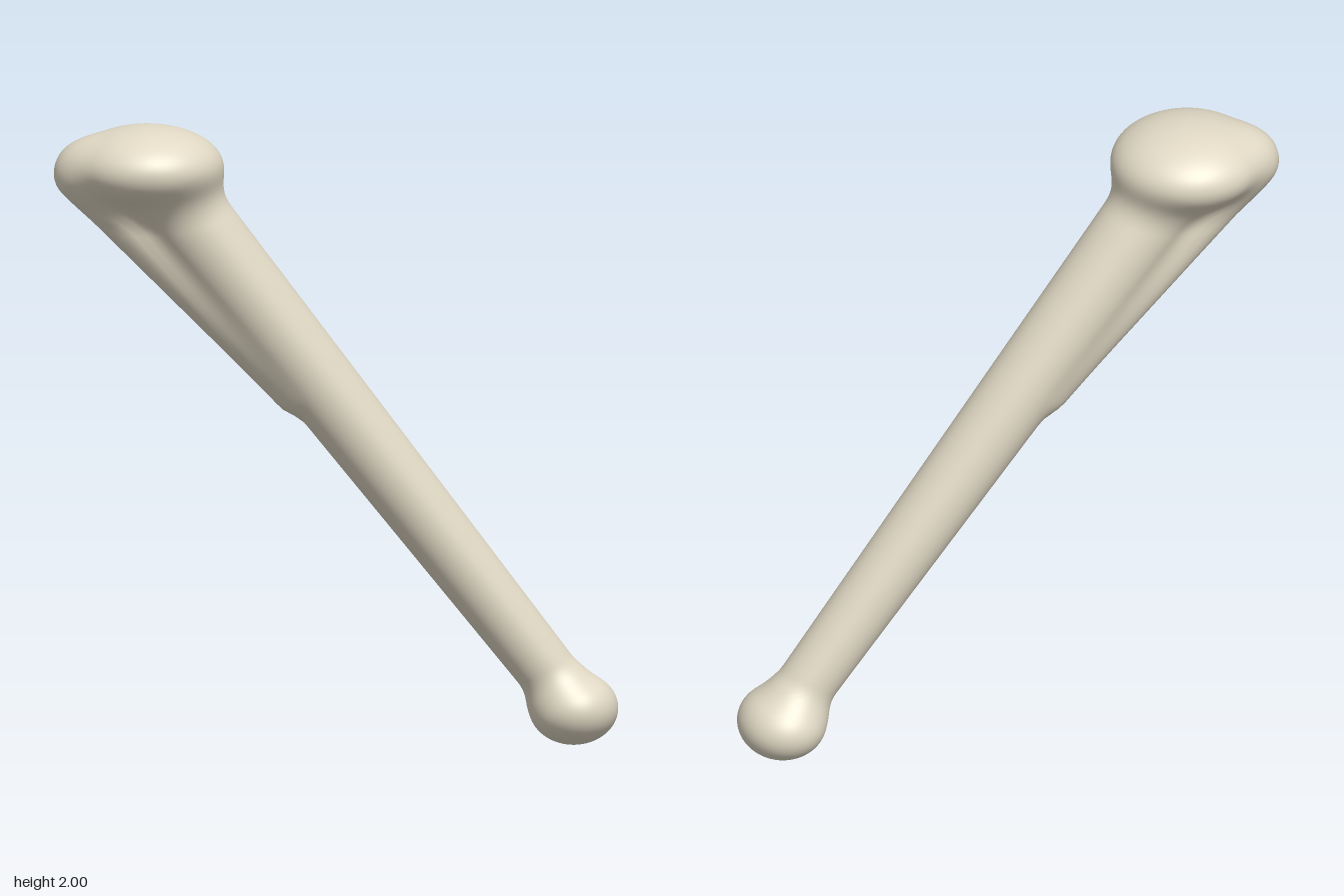
import * as THREE from 'three';

const V = (x, y, z) => new THREE.Vector3(x, y, z);

// Distance to a rounded limb that tapers from radius ra at a to rb at b
function limb(a, b, ra, rb) {
  const ab = b.clone().sub(a), len2 = ab.lengthSq(), q = V(0, 0, 0);
  return (p) => {
    const t = THREE.MathUtils.clamp(q.copy(p).sub(a).dot(ab) / len2, 0, 1);
    return q.copy(a).addScaledVector(ab, t).distanceTo(p) - THREE.MathUtils.lerp(ra, rb, t);
  };
}

// Approximate distance to an ellipsoid
function ellipsoid(c, r) {
  const q = V(0, 0, 0);
  return (p) => {
    const k0 = q.copy(p).sub(c).divide(r).length();
    const k1 = q.divide(r).length();
    return k1 < 1e-6 ? -Math.min(r.x, r.y, r.z) : k0 * (k0 - 1) / k1;
  };
}

// Smooth blend of two distances
function blend(a, b, k) {
  const h = Math.max(k - Math.abs(a - b), 0) / k;
  return Math.min(a, b) - h * h * k / 4;
}

// The anatomy: shaft, front crest, upper head and lower knuckle
const shaft = limb(V(-0.52, 1.77, 0.03), V(0.68, 0.21, -0.115), 0.13, 0.092);
const crest = limb(V(-0.805, 1.845, 0.035), V(-0.14, 1.14, -0.03), 0.083, 0.06);
const head = ellipsoid(V(-0.6, 1.87, 0.04), V(0.238, 0.13, 0.238));
const knuckle = ellipsoid(V(0.742, 0.12, -0.125), V(0.14, 0.115, 0.153));

function bone(p) {
  let d = blend(shaft(p), crest(p), 0.05);
  d = blend(d, head(p), 0.09);
  return blend(d, knuckle(p), 0.06);
}

// First surface crossing from an inside point along a direction
function reach(origin, dir) {
  const p = V(0, 0, 0);
  const f = (s) => bone(p.copy(origin).addScaledVector(dir, s));
  let hi = 0;
  while (hi < 1 && f(hi) < 0) hi += 0.01;
  let lo = Math.max(0, hi - 0.01);
  for (let i = 0; i < 16; i++) {
    const mid = (lo + hi) / 2;
    if (f(mid) < 0) lo = mid; else hi = mid;
  }
  return origin.clone().addScaledVector(dir, lo);
}

function boneGeometry(rows = 150, sides = 72) {
  const upper = V(-0.6, 1.87, 0.04), lower = V(0.742, 0.12, -0.125);
  const top = reach(upper, V(0, 1, 0)), bottom = reach(lower, V(0, -1, 0));
  const points = [], normals = [], index = [];

  const add = (p) => {
    points.push(p.x, p.y, p.z);
    const e = 0.002;
    const slope = (x, y, z) => bone(V(p.x + x, p.y + y, p.z + z)) - bone(V(p.x - x, p.y - y, p.z - z));
    const n = V(slope(e, 0, 0), slope(0, e, 0), slope(0, 0, e)).normalize();
    normals.push(n.x, n.y, n.z);
  };

  // Level cross-sections from the bottom pole to the top pole
  add(bottom);
  for (let i = 1; i < rows; i++) {
    const y = THREE.MathUtils.lerp(bottom.y, top.y, (1 - Math.cos(Math.PI * i / rows)) / 2);
    const t = THREE.MathUtils.clamp((y - lower.y) / (upper.y - lower.y), 0, 1);
    const centre = lower.clone().lerp(upper, t).setY(y);
    for (let j = 0; j < sides; j++) {
      const a = j / sides * Math.PI * 2;
      add(reach(centre, V(Math.cos(a), 0, -Math.sin(a))));
    }
  }
  add(top);

  // Skin the sections and close both poles
  const id = (i, j) => 1 + (i - 1) * sides + j % sides;
  const last = points.length / 3 - 1;
  for (let j = 0; j < sides; j++) {
    index.push(0, id(1, j + 1), id(1, j));
    for (let i = 1; i < rows - 1; i++) {
      const a = id(i, j), b = id(i, j + 1), c = id(i + 1, j + 1), d = id(i + 1, j);
      index.push(a, b, c, a, c, d);
    }
    index.push(id(rows - 1, j), id(rows - 1, j + 1), last);
  }

  const geometry = new THREE.BufferGeometry();
  geometry.setAttribute('position', new THREE.Float32BufferAttribute(points, 3));
  geometry.setAttribute('normal', new THREE.Float32BufferAttribute(normals, 3));
  geometry.setIndex(index);
  geometry.translate(0, -bottom.y, 0);
  return geometry;
}

export function createModel() {
  const group = new THREE.Group();
  group.name = 'shinBone';
  const ivory = new THREE.MeshStandardMaterial({ color: 0xe0d8c4 });
  ivory.name = 'ivory';
  const mesh = new THREE.Mesh(boneGeometry(), ivory);
  mesh.name = 'bone';
  group.add(mesh);
  return group;
}
